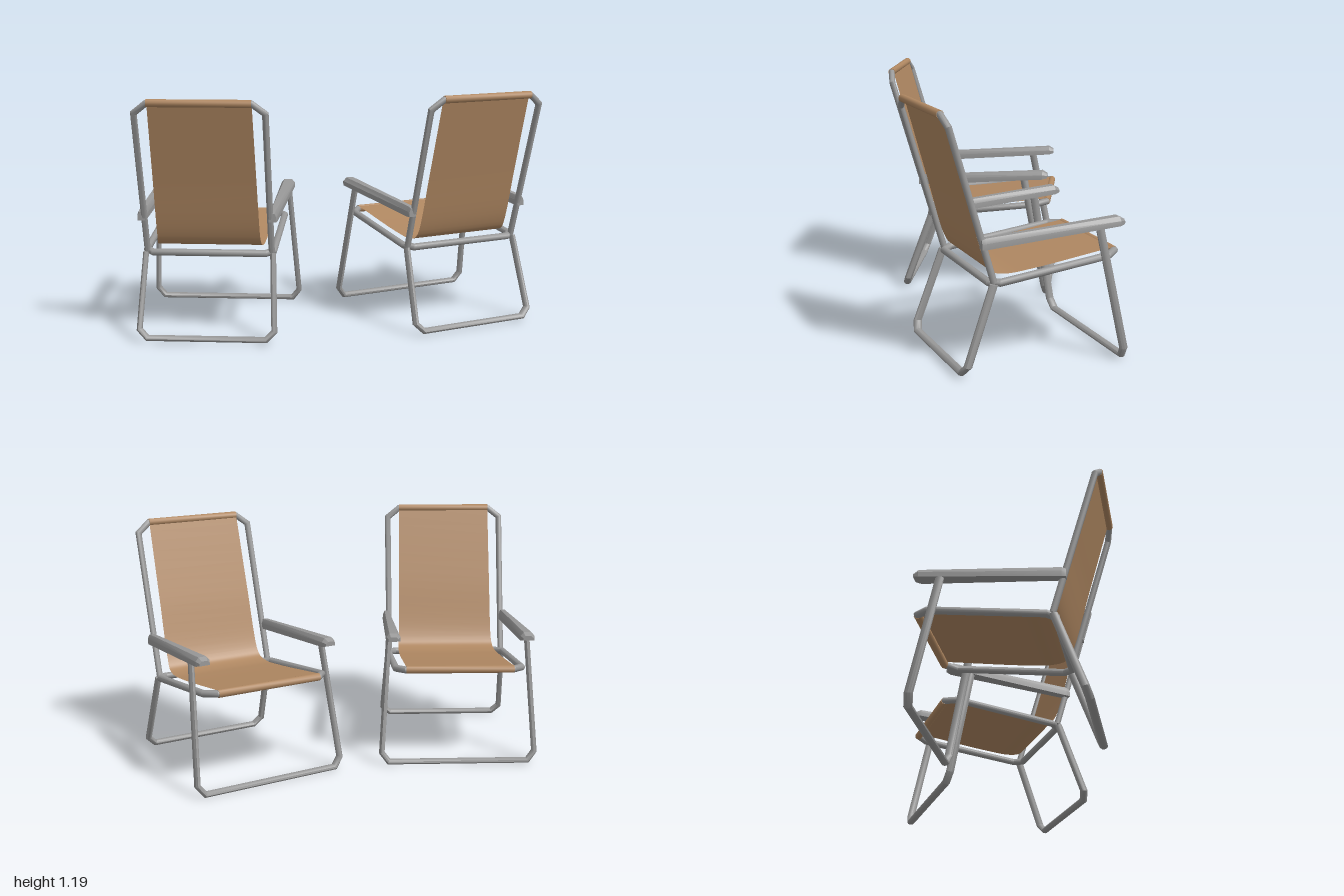
import * as THREE from 'three';
import { toCreasedNormals } from 'three/addons/utils/BufferGeometryUtils.js';

const metal = new THREE.MeshStandardMaterial({ color: 0x989898 });
metal.name = 'grey metal';
const canvas = new THREE.MeshStandardMaterial({ color: 0xb08862, side: THREE.DoubleSide });
canvas.name = 'tan canvas';

const V = (x, y, z) => new THREE.Vector3(x, y, z);

// Skin a list of equal-sized rings, capped unless closed
function loft(rings, closed = false) {
  const n = rings[0].length, m = rings.length, index = [];
  const pos = rings.flat().flatMap((p) => [p.x, p.y, p.z]);
  for (let i = 0; i < (closed ? m : m - 1); i++) {
    for (let j = 0; j < n; j++) {
      const a = i * n + j, b = i * n + (j + 1) % n;
      const c = ((i + 1) % m) * n + (j + 1) % n, d = ((i + 1) % m) * n + j;
      index.push(a, b, c, a, c, d);
    }
  }
  if (!closed) {
    const e = (m - 1) * n;
    for (let j = 1; j < n - 1; j++) index.push(0, j + 1, j, e, e + j, e + j + 1);
  }
  const g = new THREE.BufferGeometry();
  g.setAttribute('position', new THREE.Float32BufferAttribute(pos, 3));
  g.setIndex(index);
  return g;
}

// Mitred tube along a flat path; depth stretches its section in z
function tube(points, r, { closed = false, depth = 1, sides = 10 } = {}) {
  const p = points.map((q) => V(q.x, q.y, q.z / depth));
  const m = p.length;
  const dir = (i) => p[(i + 1) % m].clone().sub(p[i]).normalize();
  const N = m > 2 ? dir(0).cross(dir(1)).normalize() : V(0, 0, 1);
  const rings = p.map((q, i) => {
    const before = closed || i > 0 ? dir((i + m - 1) % m) : dir(0);
    const after = closed || i < m - 1 ? dir(i) : before;
    const T = before.clone().add(after).normalize();
    const M = N.clone().cross(T).divideScalar(T.dot(before));
    return Array.from({ length: sides }, (_, j) => {
      const t = (j / sides) * Math.PI * 2;
      return q.clone().addScaledVector(M, r * Math.cos(t)).addScaledVector(N, r * Math.sin(t));
    });
  });
  const g = loft(rings, closed);
  g.scale(1, 1, depth);
  return toCreasedNormals(g, 0.75);
}

// Half of a symmetric path, completed by its mirror image
const mirrored = (half) => [...half, ...half.map((q) => V(-q.x, q.y, q.z)).reverse()];

// Armrest: chamfered bar, wide in front and narrow behind
function armrest(side) {
  const section = [[-0.5, 0], [0.5, 0], [0.5, 0.55], [0.28, 1], [-0.28, 1], [-0.5, 0.55]];
  const stations = [ // z, centre x, width, bottom y, height
    [-0.415, 0.332, 0.05, 0.638, 0.022],
    [-0.39, 0.332, 0.07, 0.632, 0.042],
    [0.25, 0.318, 0.042, 0.586, 0.05],
    [0.27, 0.317, 0.036, 0.586, 0.042],
  ];
  const rings = stations.map(([z, x, w, y, h]) =>
    section.map(([sx, sy]) => V(side * x + sx * w, y + sy * h, z)));
  return toCreasedNormals(loft(rings), 0.4);
}

// Sling: one sheet from the top bar down the back and along the seat
function sling() {
  const curve = new THREE.CatmullRomCurve3([
    V(0, 1.178, 0.416), V(0, 0.8, 0.309), V(0, 0.5, 0.221), V(0, 0.458, 0.19),
    V(0, 0.444, 0.13), V(0, 0.453, 0), V(0, 0.508, -0.41),
  ], false, 'centripetal');
  const rows = 48;
  const g = new THREE.PlaneGeometry(1, 1, 1, rows);
  const pos = g.attributes.position;
  for (let i = 0; i < pos.count; i++) {
    const t = 0.5 - pos.getY(i);
    const q = curve.getPoint(t);
    pos.setXYZ(i, pos.getX(i) * 2 * (0.243 + 0.025 * t), q.y, q.z);
  }
  g.computeVertexNormals();
  return g;
}

function createChair() {
  const chair = new THREE.Group();
  const add = (name, geometry, material) => {
    const mesh = new THREE.Mesh(geometry, material);
    mesh.name = name;
    chair.add(mesh);
  };

  // Tubular frame
  add('backrestFrame', tube(mirrored([
    V(0.305, 0.425, 0.204), V(0.305, 1.125, 0.41), V(0.243, 1.173, 0.424),
  ]), 0.0155), metal);
  const seatY = (z) => 0.418 + ((0.215 - z) / 0.625) * 0.074;
  add('seatFrame', tube(mirrored(
    [[0.275, 0.215], [0.312, 0.175], [0.315, -0.355], [0.268, -0.41]]
      .map(([x, z]) => V(x, seatY(z), z)),
  ), 0.0175, { closed: true }), metal);
  add('frontLegs', tube(mirrored([
    V(0.346, 0.645, -0.29), V(0.385, 0.06, -0.407), V(0.35, 0.014, -0.416),
  ]), 0.014, { depth: 1.45 }), metal);
  add('rearLegs', tube(mirrored([
    V(0.312, 0.418, 0.208), V(0.328, 0.062, 0.337), V(0.288, 0.023, 0.351),
  ]), 0.0145, { depth: 1.4 }), metal);
  add('leftArmrest', armrest(1), metal);
  add('rightArmrest', armrest(-1), metal);

  // Canvas sling and its hems around the bars
  add('sling', sling(), canvas);
  add('topHem', tube([V(-0.243, 1.173, 0.424), V(0.243, 1.173, 0.424)], 0.0185), canvas);
  add('frontHem', tube([V(-0.268, 0.492, -0.41), V(0.268, 0.492, -0.41)], 0.0195), canvas);
  return chair;
}

export function createModel() {
  const model = new THREE.Group();
  model.name = 'pairOfLawnChairs';
  // Two chairs turned slightly towards each other
  for (const side of [1, -1]) {
    const chair = createChair();
    chair.name = side > 0 ? 'leftChair' : 'rightChair';
    chair.position.set(side * 0.584, 0, side > 0 ? 0.008 : -0.005);
    chair.rotation.y = side * 0.253;
    model.add(chair);
  }
  return model;
}
